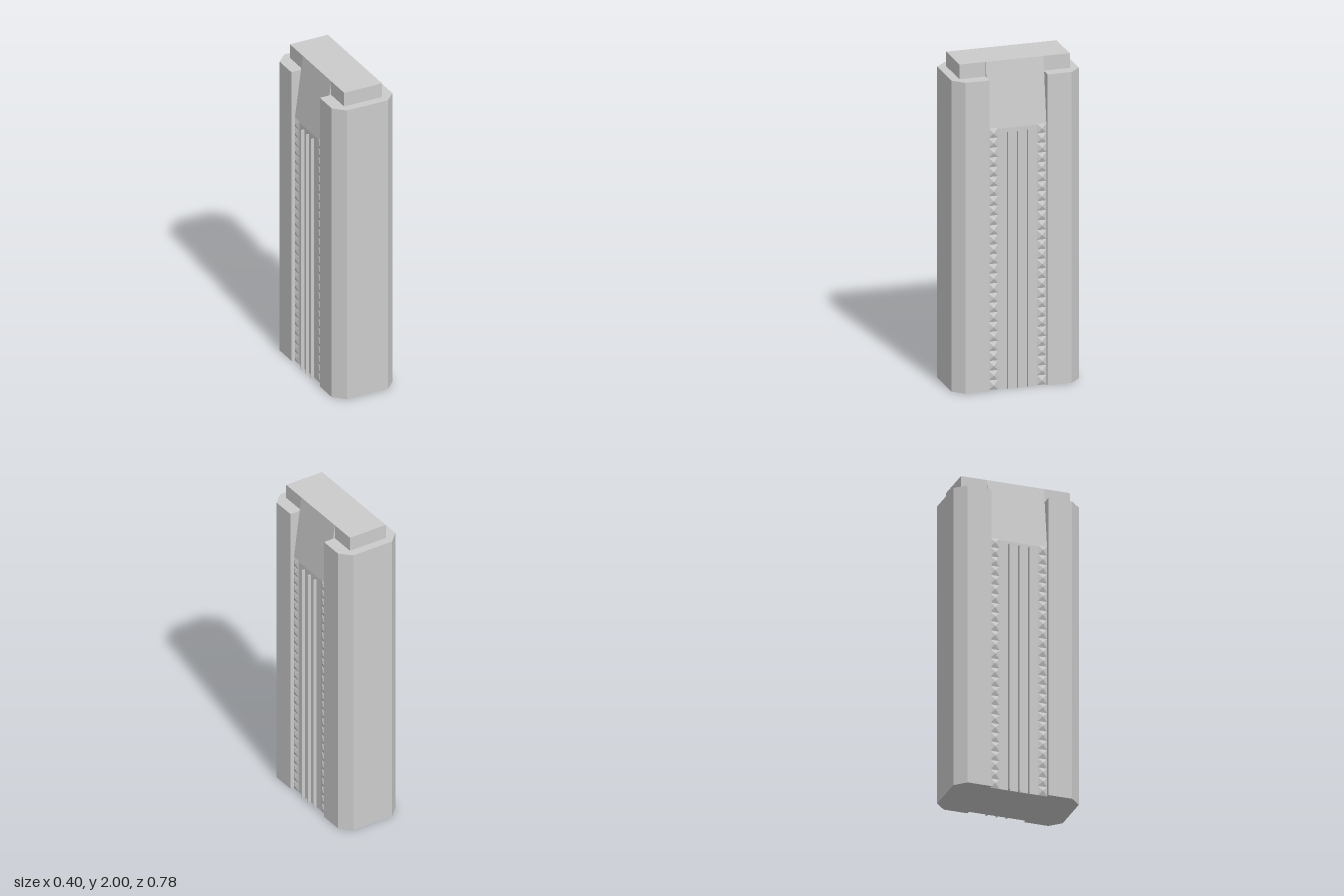
import * as THREE from 'three';
import { mergeGeometries } from 'three/addons/utils/BufferGeometryUtils.js';

const material = new THREE.MeshStandardMaterial({ color: 0xcccccc, flatShading: true });
const PANEL_X = 0.178, PANEL_Z = 0.177, PANEL_TOP = 1.6;

function polygon(points) {
  return new THREE.Shape(points.map(([x, y]) => new THREE.Vector2(x, y)));
}

function addMesh(parent, name, geometry) {
  const mesh = new THREE.Mesh(geometry, material);
  mesh.name = name;
  parent.add(mesh);
  return mesh;
}

// Four-sided stud on the +x panel, pointing outwards
function studGeometry(y, z) {
  const stud = new THREE.ConeGeometry(Math.SQRT1_2, 0.012, 4, 1, true);
  stud.rotateY(Math.PI / 4);
  stud.rotateZ(-Math.PI / 2);
  stud.scale(1, 0.06, 0.058);
  stud.translate(PANEL_X + 0.006, y, z);
  return stud;
}

export function createModel() {
  const group = new THREE.Group();
  group.name = 'tower';

  // Chamfered blocks at the front and back
  const endShape = polygon([
    [-0.2, PANEL_Z], [0.2, PANEL_Z], [0.2, 0.325], [0.135, 0.39], [-0.135, 0.39], [-0.2, 0.325],
  ]);
  const endGeometry = new THREE.ExtrudeGeometry(endShape, { depth: 1.91, bevelEnabled: false });
  endGeometry.rotateX(-Math.PI / 2);
  addMesh(group, 'backBlock', endGeometry);
  addMesh(group, 'frontBlock', endGeometry).rotation.y = Math.PI;

  // Recessed core whose sides slope inwards above the panels
  const coreShape = polygon([
    [-PANEL_X, 0], [PANEL_X, 0], [PANEL_X, PANEL_TOP], [0.125, 2], [-0.125, 2], [-PANEL_X, PANEL_TOP],
  ]);
  const coreGeometry = new THREE.ExtrudeGeometry(coreShape, { depth: 2 * PANEL_Z, bevelEnabled: false });
  coreGeometry.translate(0, 0, -PANEL_Z);
  addMesh(group, 'core', coreGeometry);

  // Roof cap ends, either side of the core
  const capDepth = 0.338 - PANEL_Z;
  for (const [name, s] of [['frontCap', 1], ['backCap', -1]]) {
    addMesh(group, name, new THREE.BoxGeometry(0.25, 0.09, capDepth))
      .position.set(0, 1.955, s * (PANEL_Z + capDepth / 2));
  }

  // Ribs and stud columns, repeated on both sides
  const studs = [];
  for (let i = 0; i < 27; i++) {
    for (const z of [-0.148, 0.148]) studs.push(studGeometry(0.0297 + i * 0.0595, z));
  }
  const studColumns = mergeGeometries(studs);

  for (const [name, angle] of [['leftPanel', 0], ['rightPanel', Math.PI]]) {
    const panel = new THREE.Group();
    panel.name = name;
    panel.rotation.y = angle;
    addMesh(panel, 'studs', studColumns);
    for (const z of [-0.062, 0, 0.062]) {
      addMesh(panel, 'rib', new THREE.BoxGeometry(0.022, 1.58, 0.006)).position.set(0.187, 0.79, z);
    }
    group.add(panel);
  }

  return group;
}
